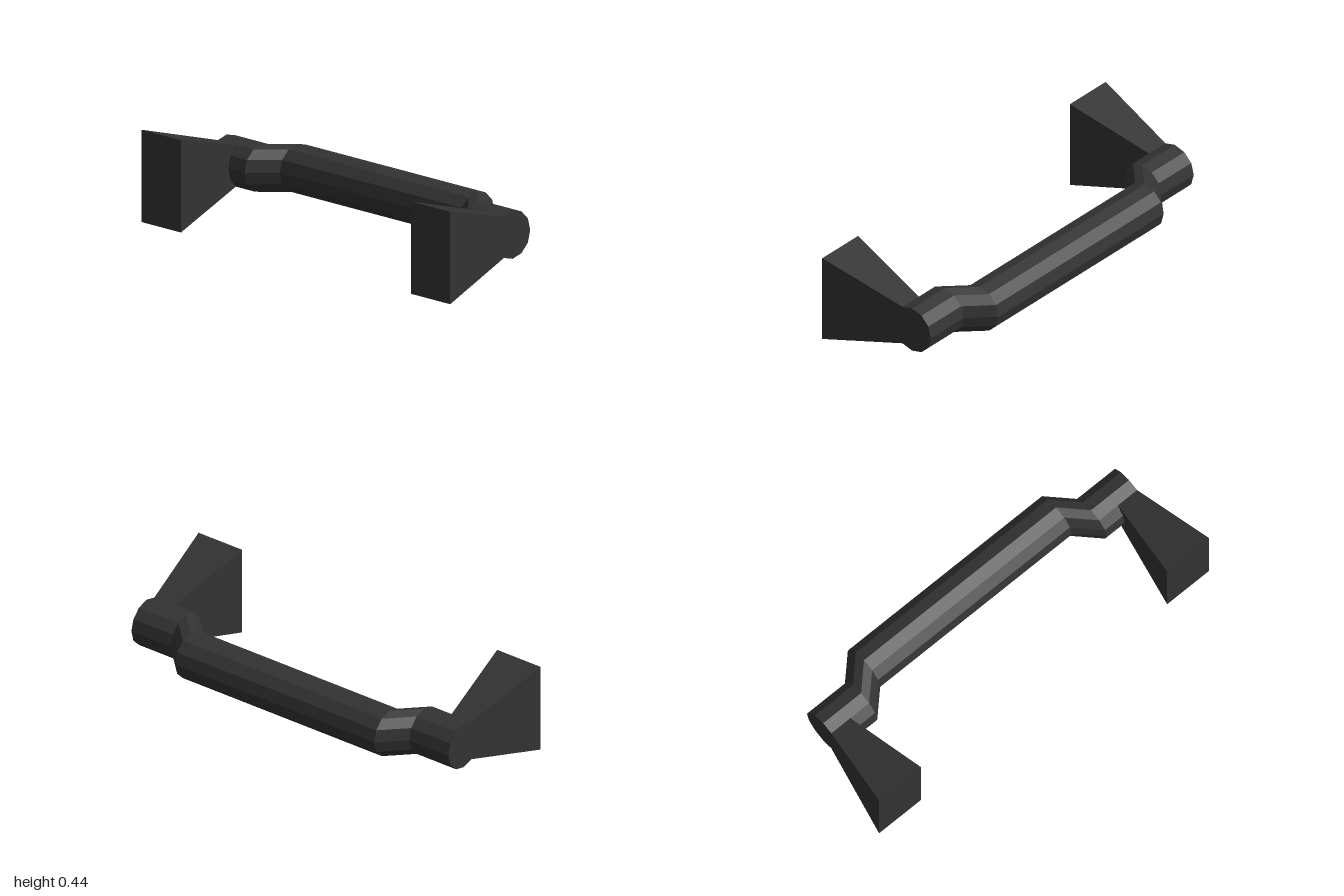
import * as THREE from 'three';

const material = new THREE.MeshStandardMaterial({ color: 0x333333, flatShading: true });

// Move every vertex of a geometry by a rule
function reshape(geometry, rule) {
  const pos = geometry.attributes.position;
  const v = new THREE.Vector3();
  for (let i = 0; i < pos.count; i++) {
    rule(v.fromBufferAttribute(pos, i));
    pos.setXYZ(i, v.x, v.y, v.z);
  }
  geometry.computeVertexNormals();
  return geometry;
}

function addMesh(group, name, geometry) {
  const mesh = new THREE.Mesh(geometry, material);
  mesh.name = name;
  group.add(mesh);
}

export function createModel() {
  const group = new THREE.Group();
  group.name = 'pullHandle';

  // Twelve-sided bar, stepped outwards between its ends; rings stay parallel
  const rings = [[0.127, -0.927], [0.127, -0.697], [0.242, -0.582], [0.242, 0.582], [0.127, 0.697], [0.127, 0.927]];
  const bar = new THREE.CylinderGeometry(0.116, 0.116, 5, 12, 5).rotateX(Math.PI / 2);
  addMesh(group, 'gripBar', reshape(bar, (v) => {
    const [x, z] = rings[Math.round(v.z + 2.5)];
    v.x += x;
    v.y += 0.222;
    v.z = z;
  }));

  // Tapered mounting brackets, wide at the wall and narrow at the bar
  for (const side of [1, -1]) {
    const bracket = reshape(new THREE.BoxGeometry(1, 1, 1), (v) => {
      const wall = v.x < 0;
      const outer = v.z * side > 0;
      v.x = wall ? -0.36 : 0.069;
      v.y = 0.222 + v.y * (wall ? 0.444 : 0.201);
      v.z = side * (wall ? (outer ? 1 : 0.746) : (outer ? 0.927 : 0.811));
    });
    addMesh(group, side > 0 ? 'frontBracket' : 'backBracket', bracket);
  }

  return group;
}
